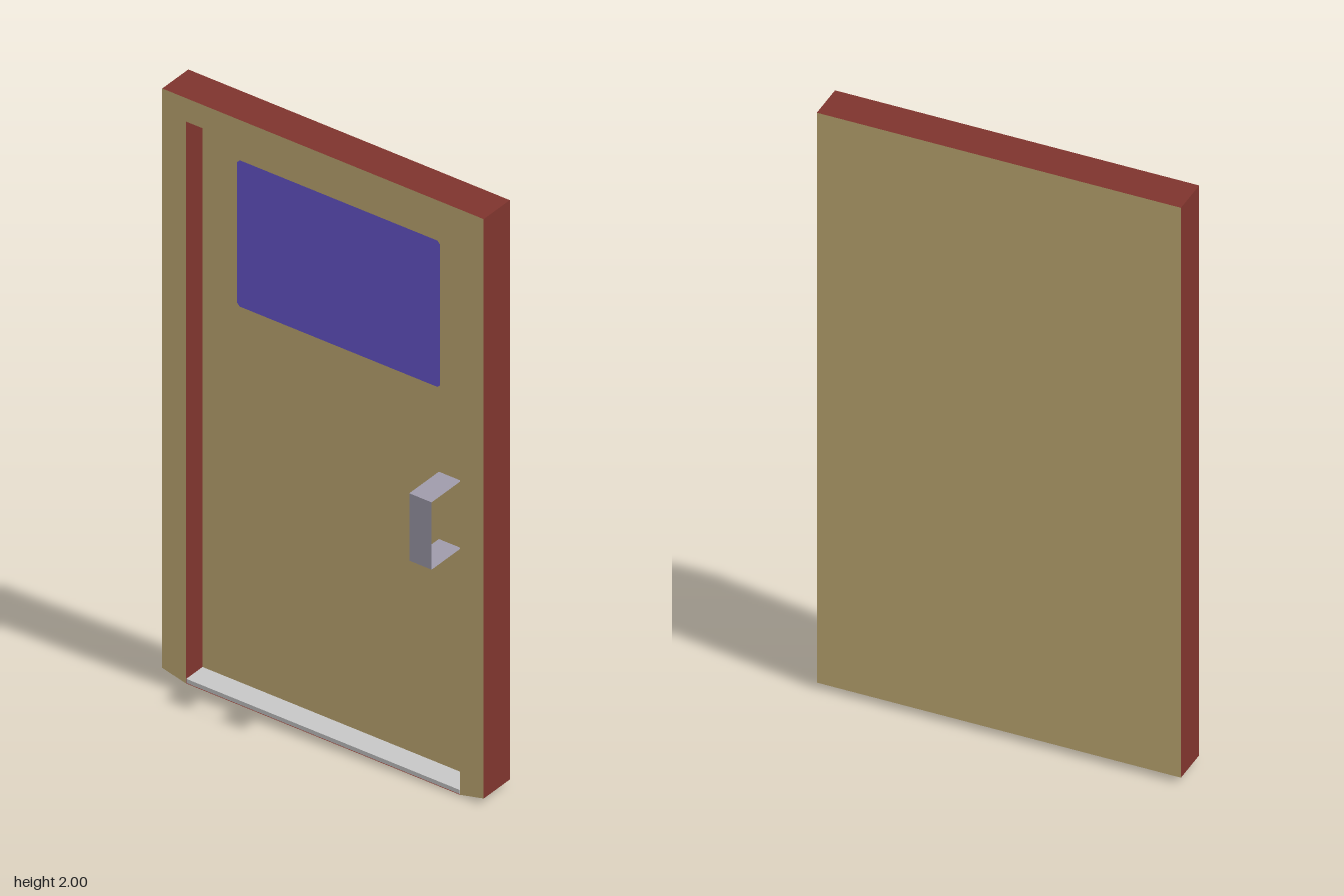
import * as THREE from 'three';

const paint = (name, color, side = THREE.FrontSide) => {
  const m = new THREE.MeshStandardMaterial({ color, side });
  m.name = name;
  return m;
};

export function createModel() {
  const group = new THREE.Group();
  group.name = 'door';

  const tan = paint('tan wood', 0xc2ab74, THREE.DoubleSide);
  const maroon = paint('maroon edge', 0x7e342d, THREE.DoubleSide);
  const steel = paint('handle steel', 0x9f9bab, THREE.DoubleSide);
  const grey = paint('threshold grey', 0xc6c6c6, THREE.DoubleSide);
  const glass = paint('violet glass', 0x6857ce, THREE.DoubleSide);

  const add = (name, geometry, material, x, y, z, rx = 0, ry = 0) => {
    const mesh = new THREE.Mesh(geometry, material);
    mesh.name = name;
    mesh.position.set(x, y, z);
    mesh.rotation.set(rx, ry, 0);
    group.add(mesh);
    return mesh;
  };
  const box = (w, h, d) => new THREE.BoxGeometry(w, h, d);
  const plane = (w, h) => new THREE.PlaneGeometry(w, h);
  const outline = (points) => new THREE.ShapeGeometry(
    new THREE.Shape(points.map(([x, y]) => new THREE.Vector2(x, y))));

  // Overall limits of the frame and of its recess
  const W = 0.575, IN = 0.49, TOP = 2, HEAD = 1.92, LOW = 0.02;
  const FRONT = 0.03, LEAF = -0.05, BACK = -0.095;
  const depth = FRONT - LEAF, mid = (FRONT + LEAF) / 2;
  const wood = [maroon, maroon, maroon, grey, tan, tan];

  // Door leaf with its back
  add('doorLeaf', box(2 * W, TOP - LOW, LEAF - BACK), wood, 0, (TOP + LOW) / 2, (LEAF + BACK) / 2);
  add('doorLeafLip', plane(2 * IN, LOW), tan, 0, LOW / 2, LEAF);

  // Raised frame, with jambs reaching below the posts
  add('frameHead', box(2 * IN, TOP - HEAD, depth), [maroon, maroon, maroon, maroon, tan, tan],
    0, (TOP + HEAD) / 2, mid);
  for (const s of [1, -1]) {
    const side = s > 0 ? 'left' : 'right';
    add(side + 'FramePost', box(W - IN, TOP - LOW, depth), wood, s * (W + IN) / 2, (TOP + LOW) / 2, mid);
    add(side + 'JambFoot', plane(depth, LOW), maroon, s * IN, LOW / 2, mid, 0, s * Math.PI / 2);
    const foot = s > 0 ? [[IN, LOW], [IN, 0], [W, LOW]] : [[-IN, LOW], [-W, LOW], [-IN, 0]];
    add(side + 'FrameFoot', outline(foot), tan, 0, 0, FRONT);
  }

  // Threshold and its underside
  add('threshold', box(2 * IN - 0.002, 0.014, depth - 0.002), grey, 0, 0.009, mid + 0.001);
  add('thresholdUnderside', plane(2 * IN, depth), maroon, 0, 0, mid, Math.PI / 2);

  // Window pane with clipped corners
  const l = -0.365, r = 0.362, b = 1.3, t = 1.8, c = 0.01;
  add('window', outline([[l + c, b], [r - c, b], [r, b + c], [r, t - c],
    [r - c, t], [l + c, t], [l, t - c], [l, b + c]]), glass, 0, 0, LEAF + 0.003);

  // Pull handle bent from a thin strip
  const hx = 0.395, hw = 0.08, hb = 0.78, ht = 1.01, hz = 0.092;
  add('handleGrip', plane(hw, ht - hb), steel, hx, (hb + ht) / 2, hz);
  add('handleTop', plane(hw, hz - LEAF), steel, hx, ht, (hz + LEAF) / 2, -Math.PI / 2);
  add('handleBottom', plane(hw, hz - LEAF), steel, hx, hb, (hz + LEAF) / 2, Math.PI / 2);

  return group;
}
